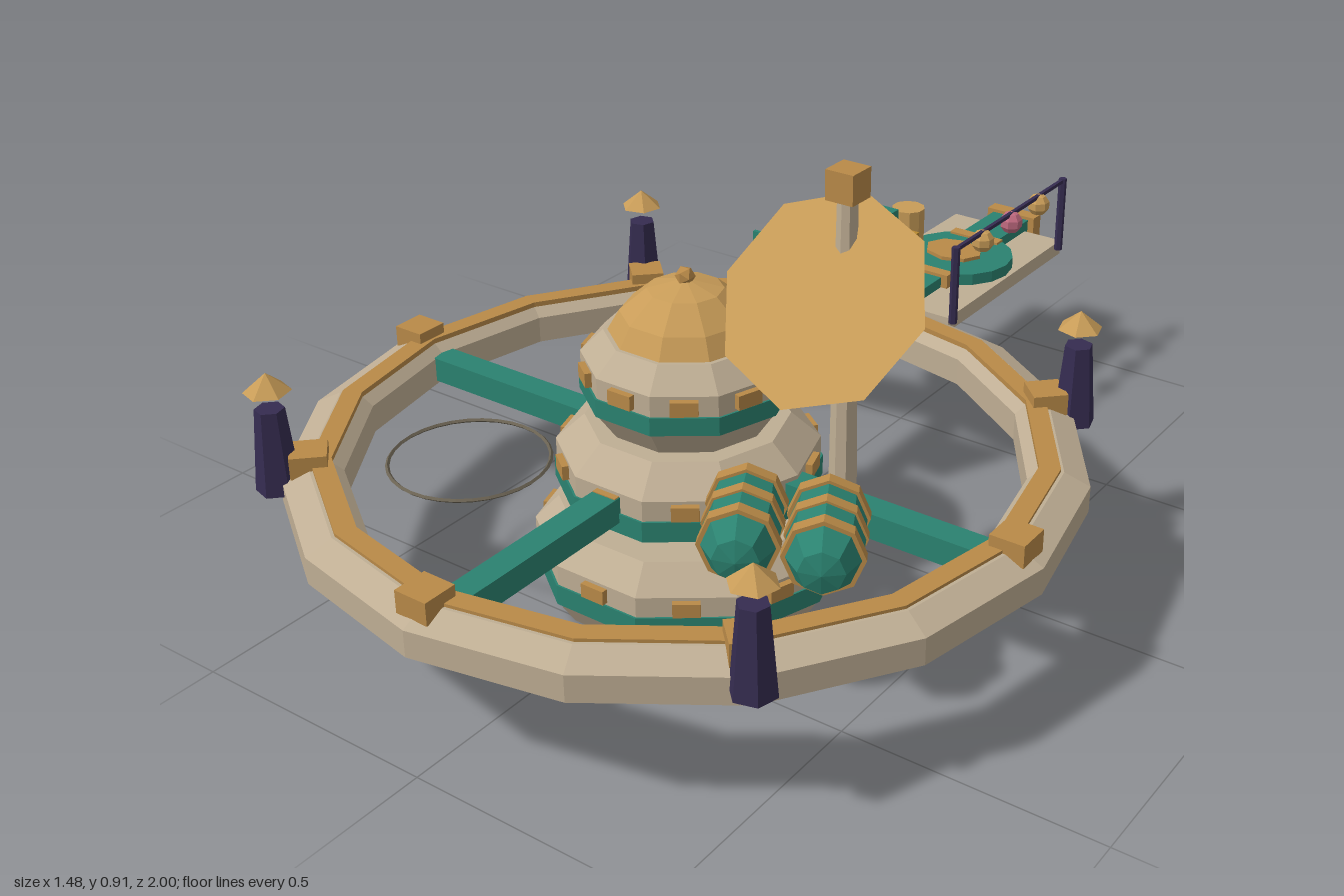
import * as THREE from 'three';

const CZ = 0.262; // z of the station's main axis

export function createModel() {
  const mat = (name, color) => {
    const m = new THREE.MeshStandardMaterial({ color });
    m.name = name;
    return m;
  };
  const stone = mat('stone', 0xbfae94);
  const teal = mat('teal', 0x2b8270);
  const gold = mat('gold', 0xc89c58);
  const bronze = mat('bronze', 0xb98a48);
  const robe = mat('dark purple', 0x352c50);
  const pink = mat('pink', 0xc06a80);
  const rust = mat('rust', 0xaa5a42);
  const ochre = mat('ochre', 0xb88a30);
  const wire = mat('wire grey', 0x6a6252);
  const pennantTeal = mat('pennant teal', 0x2b8271);
  const pennantPink = mat('pennant pink', 0xc06a81);
  pennantTeal.side = pennantPink.side = THREE.DoubleSide;

  const model = new THREE.Group();
  model.name = 'orbitalStation';

  const group = (name, parent = model) => {
    const g = new THREE.Group();
    g.name = name;
    parent.add(g);
    return g;
  };
  // faceted mesh
  const add = (parent, name, geo, material, x = 0, y = 0, z = 0) => {
    const g = geo.index ? geo.toNonIndexed() : geo;
    g.computeVertexNormals();
    const m = new THREE.Mesh(g, material);
    m.name = name;
    m.position.set(x, y, z);
    parent.add(m);
    return m;
  };
  // box given by its extents
  const box = (parent, name, material, x0, x1, y0, y1, z0, z1) =>
    add(parent, name, new THREE.BoxGeometry(x1 - x0, y1 - y0, z1 - z0), material,
      (x0 + x1) / 2, (y0 + y1) / 2, (z0 + z1) / 2);
  const lathe = (points, sides, start = 0) =>
    new THREE.LatheGeometry(points.map(p => new THREE.Vector2(p[0], p[1])), sides, start);

  const station = group('station');
  station.position.z = CZ;

  // Hub: three stacked ten-sided tiers, each with a teal band and windows
  const S = 10, turn = Math.PI / 10;
  const tier = (name, r, rBase, rTop, yBase, yBand, yWall, yShoulder, yTop) => {
    const g = group(name, station);
    add(g, 'lowerSlope', lathe([[0, yBase], [rBase, yBase], [r, yBand]], S, turn), stone);
    add(g, 'tealBand', lathe([[r, yBand], [r + 0.004, yBand], [r + 0.004, yWall], [r, yWall]], S, turn), teal);
    add(g, 'upperWall', lathe([[r, yWall], [r, yShoulder], [rTop, yTop], [0, yTop]], S, turn), stone);
    for (let i = 0; i < S; i++) {
      const a = (i / S) * Math.PI * 2, d = r * Math.cos(turn);
      const w = add(g, 'window', new THREE.BoxGeometry(0.05, 0.028, 0.025), bronze,
        Math.sin(a) * d, yWall + 0.02, Math.cos(a) * d);
      w.rotation.y = a;
    }
  };
  tier('lowerTier', 0.291, 0.26, 0.245, 0, 0.05, 0.09, 0.13, 0.177);
  tier('middleTier', 0.245, 0.175, 0.19, 0.177, 0.22, 0.26, 0.30, 0.35);
  tier('upperTier', 0.193, 0.155, 0.15, 0.35, 0.405, 0.44, 0.48, 0.522);
  add(station, 'dome', lathe([[0.143, 0.52], [0.12, 0.56], [0.07, 0.603], [0, 0.622]], S, turn), gold);
  add(station, 'domeKnob', new THREE.IcosahedronGeometry(0.019, 0), bronze, 0, 0.626, 0);

  // Outer ring with a walkway and eight blocks
  const ring = group('outerRing', station);
  add(ring, 'ringHull', lathe([[0.625, 0.235], [0.67, 0.215], [0.70, 0.215], [0.738, 0.237],
    [0.738, 0.288], [0.69, 0.312], [0.65, 0.312], [0.625, 0.29], [0.625, 0.235]], 16), stone);
  add(ring, 'walkway', lathe([[0.645, 0.305], [0.684, 0.305], [0.684, 0.318], [0.645, 0.318], [0.645, 0.305]], 16), bronze);
  for (let i = 0; i < 8; i++) {
    const a = i * Math.PI / 4;
    const b = add(ring, 'ringBlock', new THREE.BoxGeometry(0.067, 0.043, 0.067), bronze,
      Math.sin(a) * 0.684, 0.318, Math.cos(a) * 0.684);
    b.rotation.y = a;
  }

  // Four spokes
  for (let i = 0; i < 4; i++) {
    const a = i * Math.PI / 2;
    const s = add(station, 'spoke', new THREE.BoxGeometry(0.053, 0.05, 0.47), teal,
      Math.sin(a) * 0.415, 0.267, Math.cos(a) * 0.415);
    s.rotation.y = a;
  }

  // Robed sentinels on the diagonals
  for (let i = 0; i < 4; i++) {
    const a = Math.PI / 4 + i * Math.PI / 2;
    const f = group('sentinel', station);
    f.position.set(Math.sin(a) * 0.742, 0.265, Math.cos(a) * 0.742);
    f.rotation.y = a;
    add(f, 'robe', new THREE.CylinderGeometry(0.027, 0.041, 0.162, 6), robe, 0, 0.081, 0);
    add(f, 'hat', new THREE.ConeGeometry(0.043, 0.036, 6), gold, 0, 0.214, 0);
  }

  // Mast with tilted dish and pennants
  const mast = group('antenna');
  mast.position.set(0.34, 0, CZ);
  add(mast, 'mastPole', new THREE.CylinderGeometry(0.018, 0.026, 0.58, 8), stone, 0, 0.57, 0);
  add(mast, 'mastCap', new THREE.BoxGeometry(0.054, 0.054, 0.054), bronze, 0, 0.88, 0);
  const dish = group('dish', mast);
  dish.position.set(0, 0.698, 0.07);
  dish.rotation.x = 0.9;
  add(dish, 'dishBowl', new THREE.CylinderGeometry(0.195, 0.08, 0.045, 8), gold, 0, -0.0225, 0);
  const pennant = (name, material, y, tipZ, sideX, sideZ) => {
    const g = new THREE.BufferGeometry();
    g.setAttribute('position', new THREE.Float32BufferAttribute(
      [0, y, tipZ, sideX, y, sideZ, 0, y, 0], 3));
    add(mast, name, g, material);
  };
  pennant('upperPennant', pennantTeal, 0.757, -0.13, -0.1, -0.06);
  pennant('lowerPennant', pennantPink, 0.66, -0.085, -0.085, -0.045);

  // Striped cargo pods
  const pod = (x, z) => {
    const g = group('cargoPod');
    g.position.set(x, 0.333, z);
    g.rotation.order = 'YXZ';
    g.rotation.set(Math.PI / 2, 0.52, 0);
    add(g, 'podHull', lathe([[0, -0.13], [0.04, -0.12], [0.064, -0.075], [0.067, 0],
      [0.064, 0.075], [0.04, 0.12], [0, 0.13]], 8), teal);
    for (const t of [-0.065, 0, 0.065])
      add(g, 'podStripe', lathe([[0.06, t - 0.012], [0.071, t - 0.012], [0.071, t + 0.012], [0.06, t + 0.012]], 8), bronze);
  };
  pod(0.29, 0.49);
  pod(0.425, 0.44);

  // Thin floating hoop
  const hoop = add(model, 'hoop', new THREE.TorusGeometry(0.15, 0.004, 4, 32), wire, -0.317, 0.265, 0.513);
  hoop.rotation.x = Math.PI / 2;

  // Sign panel behind the hub
  const sign = group('signPanel');
  box(sign, 'panel', teal, -0.07, 0.07, 0.38, 0.59, -0.05, -0.042);
  box(sign, 'panelPlaque', bronze, -0.027, 0.027, 0.47, 0.55, -0.055, -0.037);

  // Dock at the back
  const dock = group('dock');
  box(dock, 'deck', stone, -0.137, 0.137, 0.27, 0.302, -0.952, -0.45);
  box(dock, 'dockBeam', teal, -0.045, 0.045, 0.255, 0.325, -0.985, -0.38);
  for (const z of [-0.805, -0.587])
    box(dock, 'beamClamp', bronze, -0.06, 0.06, 0.252, 0.332, z - 0.013, z + 0.013);
  box(dock, 'innerFrame', bronze, -0.06, 0.06, 0.26, 0.33, -0.415, -0.385);
  box(dock, 'endFrame', bronze, -0.06, 0.06, 0.255, 0.332, -0.998, -0.965);
  box(dock, 'endPanel', teal, -0.042, 0.042, 0.27, 0.318, -1, -0.994);
  add(dock, 'landingPad', new THREE.CylinderGeometry(0.12, 0.12, 0.026, 16), teal, 0.01, 0.314, -0.708);
  const hatch = add(dock, 'padHatch', new THREE.CylinderGeometry(0.066, 0.066, 0.012, 8), bronze, 0, 0.329, -0.705);
  hatch.scale.z = 0.8;

  // Cargo on the dock
  const cargo = group('cargo', dock);
  box(cargo, 'rustCrate', rust, -0.178, -0.07, 0.302, 0.386, -0.562, -0.462);
  box(cargo, 'tealCrate', teal, -0.163, -0.075, 0.386, 0.45, -0.588, -0.508);
  box(cargo, 'ochreCrate', ochre, -0.16, -0.064, 0.302, 0.374, -0.66, -0.567);
  add(cargo, 'barrel', new THREE.CylinderGeometry(0.037, 0.037, 0.1, 10), gold, -0.125, 0.352, -0.713);

  // Lantern line
  const line = group('lanternLine', dock);
  for (const z of [-0.45, -0.92])
    add(line, 'lanternPost', new THREE.CylinderGeometry(0.009, 0.009, 0.172, 6), robe, 0.148, 0.38, z);
  box(line, 'lanternCord', robe, 0.144, 0.152, 0.457, 0.465, -0.925, -0.445);
  [-0.562, -0.685, -0.808].forEach((z, i) =>
    add(line, 'lantern', new THREE.SphereGeometry(0.025, 7, 5), i === 1 ? pink : gold, 0.148, 0.441, z));

  return model;
}
